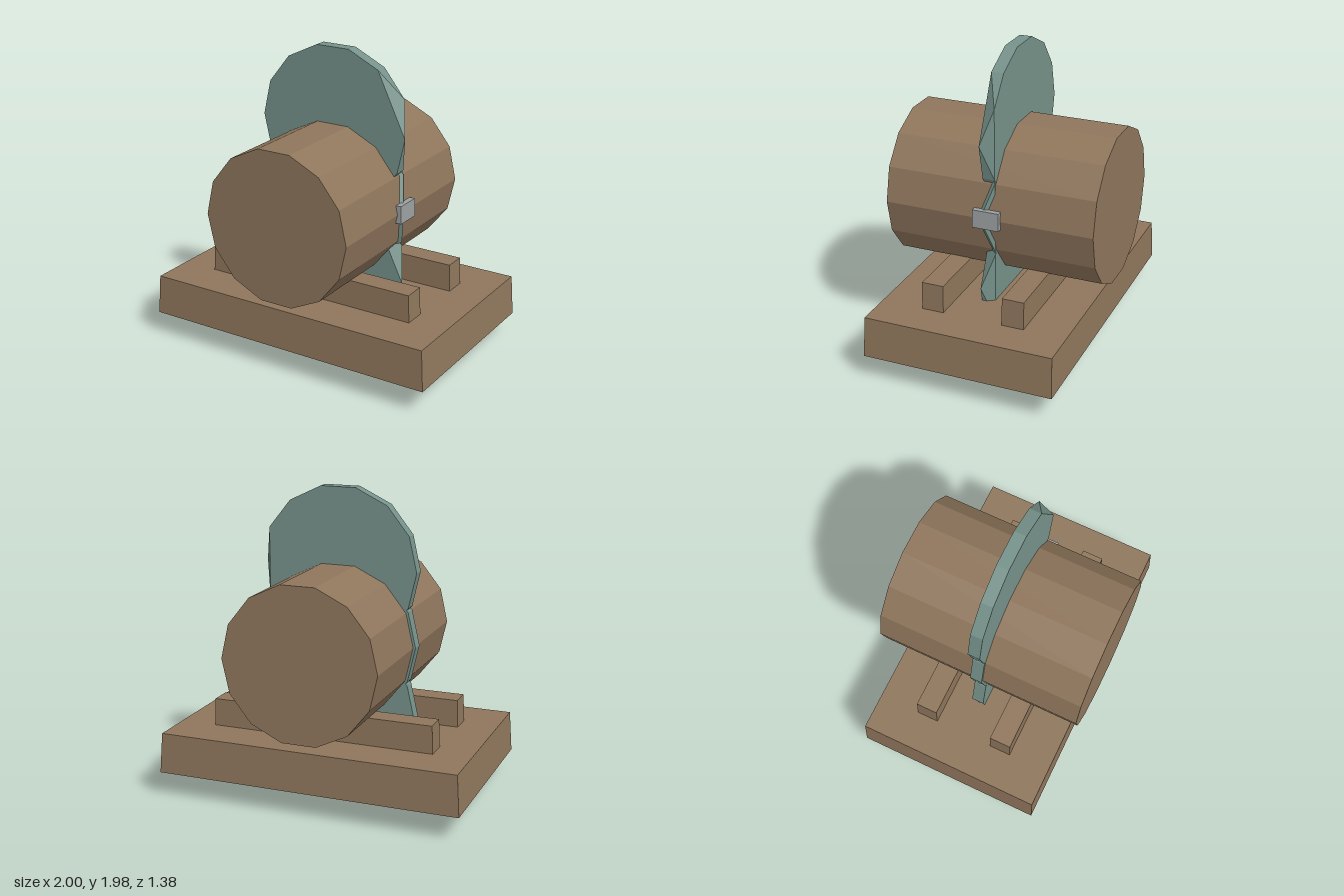
import * as THREE from 'three';
import { ConvexGeometry } from 'three/addons/geometries/ConvexGeometry.js';

const material = (name, color) => {
  const m = new THREE.MeshStandardMaterial({ color, flatShading: true });
  m.name = name;
  return m;
};

// Box standing on y0 whose top is inset slightly from its bottom
function taperedBox(width, height, depth, insetX, insetZ) {
  const g = new THREE.BoxGeometry(width, height, depth);
  const p = g.attributes.position;
  for (let i = 0; i < p.count; i++) {
    if (p.getY(i) < 0) continue;
    p.setX(i, p.getX(i) - Math.sign(p.getX(i)) * insetX);
    p.setZ(i, p.getZ(i) - Math.sign(p.getZ(i)) * insetZ);
  }
  g.translate(0, height / 2, 0);
  g.computeVertexNormals();
  return g;
}

// 14-sided plate with chosen rim corners left out on the front or back;
// corner 0 points to +x and they run counterclockwise
function chippedDisc(radius, thickness, skipFront, skipBack) {
  const points = [];
  for (let i = 0; i < 14; i++) {
    const a = (i / 14) * Math.PI * 2;
    const x = radius * Math.cos(a), y = radius * Math.sin(a);
    if (!skipFront.includes(i)) points.push(new THREE.Vector3(x, y, thickness / 2));
    if (!skipBack.includes(i)) points.push(new THREE.Vector3(x, y, -thickness / 2));
  }
  return new ConvexGeometry(points);
}

export function createModel() {
  const model = new THREE.Group();
  const wood = material('wood', 0x8f765c);
  const teal = material('teal', 0x76928a);
  const metal = material('metal', 0x9ba0a0);

  const add = (name, geometry, mat, x, y, z) => {
    const mesh = new THREE.Mesh(geometry, mat);
    mesh.name = name;
    mesh.position.set(x, y, z);
    model.add(mesh);
    return mesh;
  };

  // Base slab and the two cross rails
  add('base', taperedBox(2, 0.265, 1.25, 0.018, 0.008), wood, 0, 0.155, 0);
  for (const side of [1, -1]) {
    add(side > 0 ? 'frontRail' : 'backRail',
      taperedBox(1.486, 0.185, 0.145, 0.008, 0.001), wood, 0, 0.415, side * 0.268);
  }

  // Barrel lying front to back
  const barrel = new THREE.CylinderGeometry(0.507, 0.507, 1.375, 14, 1, false, Math.PI / 2);
  barrel.rotateX(Math.PI / 2);
  add('barrel', barrel, wood, 0, 0.99, 0);

  // Three overlapping discs, chipped along the left edge
  add('upperDisc', chippedDisc(0.523, 0.08, [1], [0]), teal, 0, 1.47, 0);
  add('middleBand', chippedDisc(0.523, 0.08, [1, 13], [0]), teal, 0, 0.99, 0);
  add('lowerDisc', chippedDisc(0.523, 0.08, [1], [0]), teal, 0, 0.51, 0);

  // Clasp on the band
  add('clasp', taperedBox(0.042, 0.117, 0.175, 0.003, 0.001), metal, 0.513, 0.935, 0);

  return model;
}
